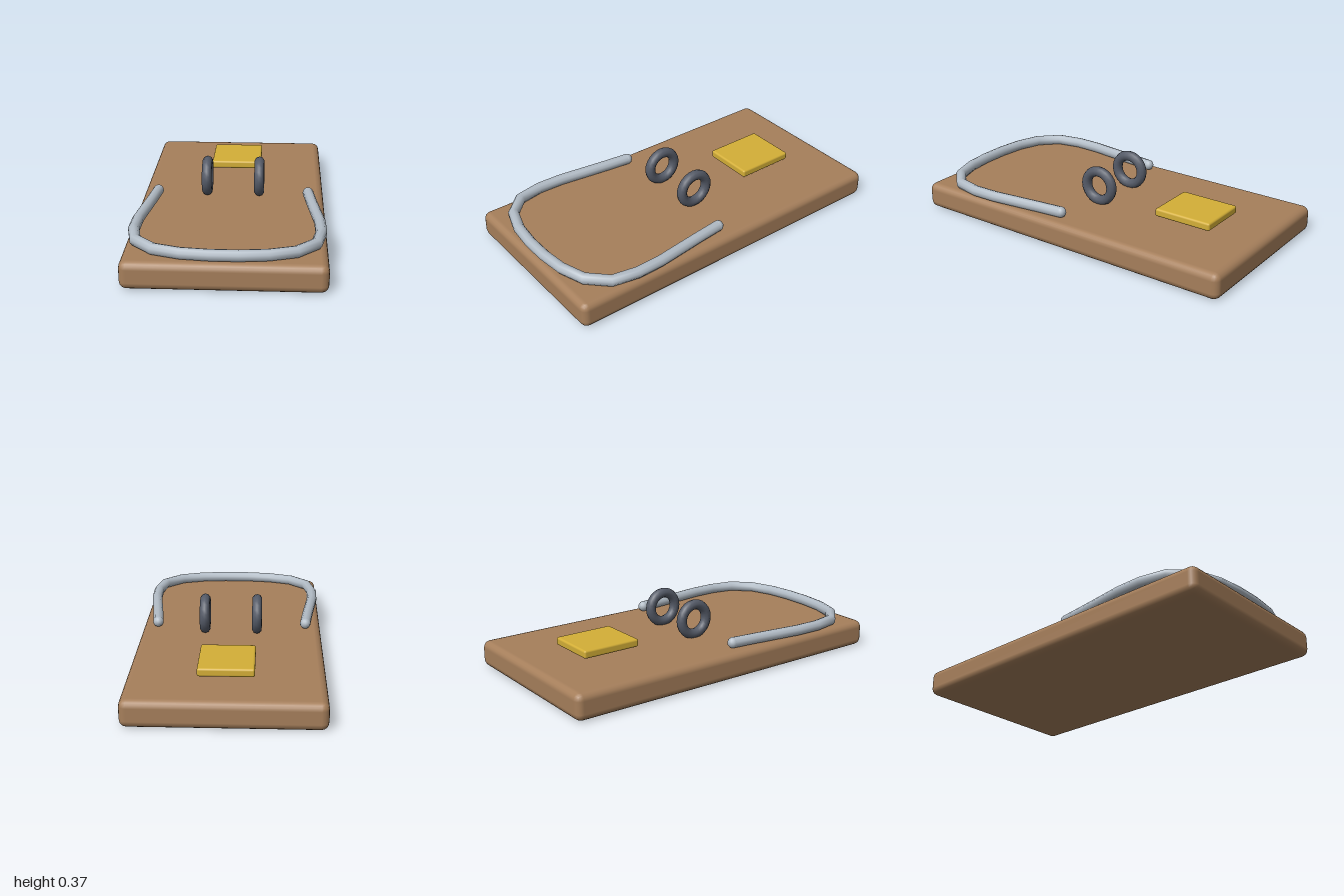
import * as THREE from 'three';
import { RoundedBoxGeometry } from 'three/addons/geometries/RoundedBoxGeometry.js';

const material = (name, color) => {
  const m = new THREE.MeshStandardMaterial({ color });
  m.name = name;
  return m;
};

export function createModel() {
  const group = new THREE.Group();
  const wood = material('wood', 0xa67f5b);
  const steel = material('steel', 0xb2bcc6);
  const darkSteel = material('dark steel', 0x555b68);
  const brass = material('brass', 0xd4af37);

  const add = (name, geometry, mat, x, y, z) => {
    const mesh = new THREE.Mesh(geometry, mat);
    mesh.name = name;
    mesh.position.set(x, y, z);
    group.add(mesh);
    return mesh;
  };

  // Wooden board and the plate hovering just above it
  add('board', new RoundedBoxGeometry(1.045, 0.15, 2, 2, 0.04), wood, 0, 0.075, 0);
  add('plate', new RoundedBoxGeometry(0.3, 0.046, 0.346, 2, 0.012), brass, 0, 0.191, -0.553);

  // Two upright coil rings
  for (const side of [-1, 1]) {
    const ring = add(side < 0 ? 'rightCoil' : 'leftCoil',
      new THREE.TorusGeometry(0.086, 0.029, 10, 24), darkSteel, side * 0.15, 0.255, 0);
    ring.rotation.y = Math.PI / 2;
  }

  // U-shaped wire bar, mirrored about x = 0
  const half = [[0.432, 0.055], [0.46, 0.3], [0.482, 0.45], [0.49, 0.63],
    [0.46, 0.785], [0.36, 0.885], [0.2, 0.935]];
  const points = [
    ...half.map(([x, z]) => new THREE.Vector3(-x, 0, z)),
    new THREE.Vector3(0, 0, 0.948),
    ...[...half].reverse().map(([x, z]) => new THREE.Vector3(x, 0, z)),
  ];
  const path = new THREE.CatmullRomCurve3(points);
  add('wireBar', new THREE.TubeGeometry(path, 17, 0.031, 10, false), steel, 0, 0.18, 0);

  // Rounded ends of the bar
  for (const side of [-1, 1]) {
    add(side < 0 ? 'rightBarEnd' : 'leftBarEnd',
      new THREE.SphereGeometry(0.031, 12, 8), steel, side * half[0][0], 0.18, half[0][1]);
  }

  return group;
}
